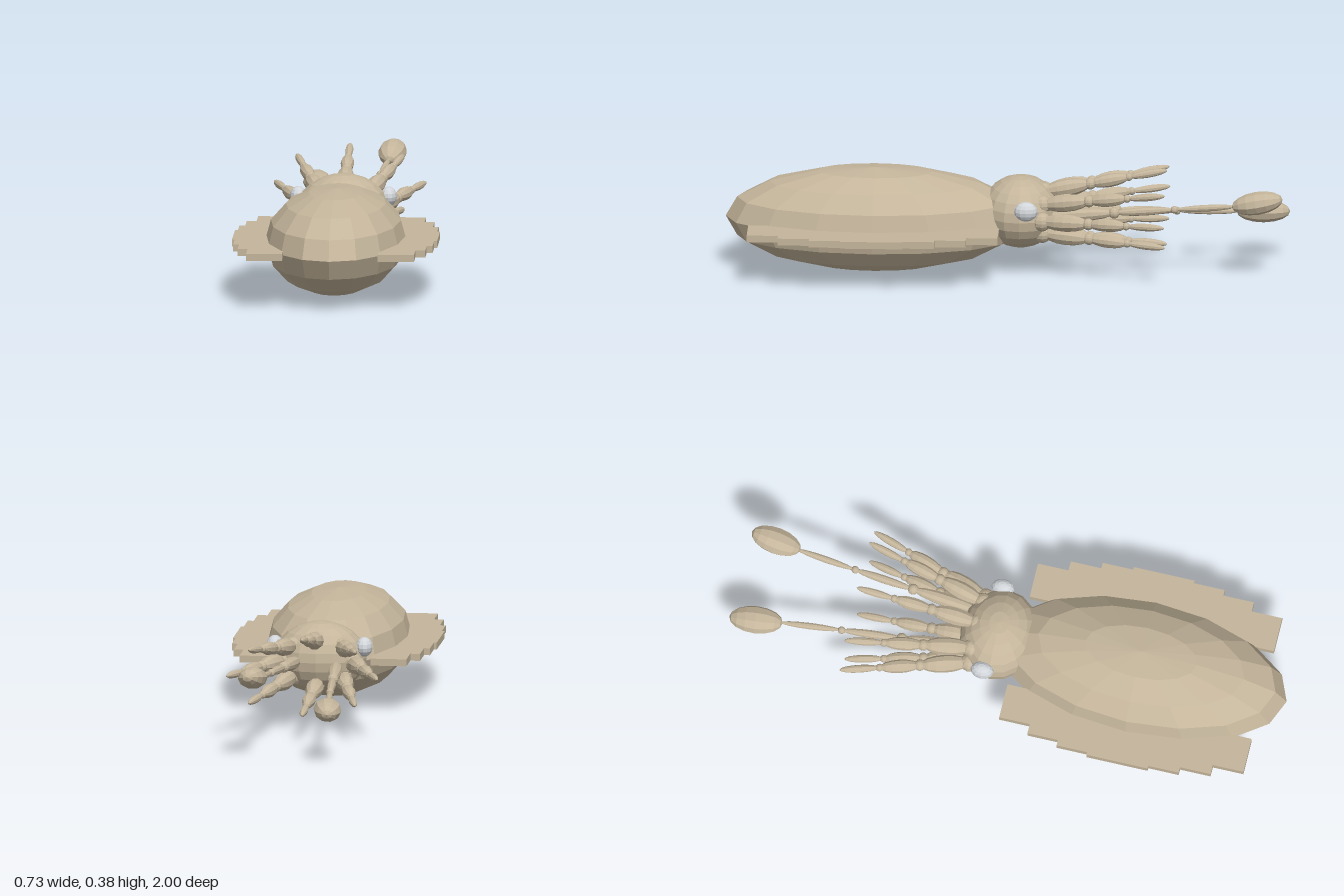
import * as THREE from 'three';

const skin = new THREE.MeshStandardMaterial({ color: 0xc4b59b, flatShading: true });
skin.name = 'skin';
const eyeWhite = new THREE.MeshStandardMaterial({ color: 0xd2d6da, flatShading: true });
eyeWhite.name = 'eyeWhite';

const V = (x, y, z) => new THREE.Vector3(x, y, z);

function ellipsoid(name, pos, radii, material, w = 16, h = 8) {
  const mesh = new THREE.Mesh(new THREE.SphereGeometry(1, w, h), material);
  mesh.name = name;
  mesh.position.copy(pos);
  mesh.scale.copy(radii);
  return mesh;
}

// spindle-shaped segment stretched from a to b
function spindle(name, a, b, r) {
  const dir = b.clone().sub(a);
  const mid = a.clone().add(b).multiplyScalar(0.5);
  const mesh = ellipsoid(name, mid, V(r, dir.length() / 2, r), skin, 10, 8);
  mesh.quaternion.setFromUnitVectors(V(0, 1, 0), dir.normalize());
  return mesh;
}

// chain of spindles with a small knob at the start of each
function limb(name, points, radii, knobs) {
  const group = new THREE.Group();
  group.name = name;
  radii.forEach((r, i) => {
    group.add(spindle('segment', points[i], points[i + 1], r));
    const k = knobs[i];
    group.add(ellipsoid('joint', points[i], V(k, k, k), skin, 10, 8));
  });
  return group;
}

export function createModel() {
  const model = new THREE.Group();
  model.name = 'squid';

  // body and head
  model.add(ellipsoid('mantle', V(0, 0.187, 0.467), V(0.25, 0.185, 0.53), skin));
  model.add(ellipsoid('head', V(0, 0.217, -0.05), V(0.165, 0.128, 0.14), skin, 16, 12));

  for (const side of [1, -1]) {
    const label = side > 0 ? 'left' : 'right';

    // eyes
    model.add(ellipsoid(label + 'Eye', V(side * 0.16, 0.26, -0.075),
      V(0.03, 0.035, 0.042), eyeWhite, 12, 8));

    // stepped side fin
    const fin = new THREE.Group();
    fin.name = label + 'Fin';
    const step = 0.89 / 8;
    [0.298, 0.333, 0.354, 0.364, 0.364, 0.354, 0.333, 0.298].forEach((outer, i) => {
      const w = outer - 0.17;
      const plate = new THREE.Mesh(new THREE.BoxGeometry(w, 0.025, step), skin);
      plate.name = 'finPlate';
      plate.position.set(side * (0.17 + w / 2), 0.1875, 0.02 + step * (i + 0.5));
      fin.add(plate);
    });
    model.add(fin);

    // long feeding tentacle, the left one raised
    const [rootY, endY] = side > 0 ? [0.215, 0.278] : [0.205, 0.188];
    const path = [[0.07, -0.13], [0.088, -0.385], [0.105, -0.6], [0.125, -0.82]].map(([x, z]) =>
      V(side * x, THREE.MathUtils.mapLinear(z, -0.13, -0.82, rootY, endY), z));
    const tentacle = limb(label + 'Tentacle', path, [0.024, 0.015, 0.012], [0.026, 0.02, 0.014]);
    const clubEnd = side > 0 ? V(0.142, 0.312, -0.985) : V(-0.144, 0.186, -1);
    const clubStart = side > 0 ? V(0.126, 0.276, -0.805) : V(-0.126, 0.188, -0.81);
    const club = spindle('club', clubStart, clubEnd, 0.05);
    club.scale.z = 0.04;
    tentacle.add(club);
    model.add(tentacle);
  }

  // ring of eight short arms fanning out
  for (let i = 0; i < 8; i++) {
    const a = (i / 8) * Math.PI * 2;
    const c = Math.cos(a), s = Math.sin(a);
    const root = V(0.125 * c, 0.213 + 0.075 * s, -0.13);
    const tip = V(0.268 * c, 0.236 + 0.136 * s, -0.57);
    const points = [0, 0.38, 0.69, 1].map(t => root.clone().lerp(tip, t));
    model.add(limb('arm' + (i + 1), points, [0.032, 0.024, 0.014], [0.034, 0.021, 0.014]));
  }
  return model;
}
